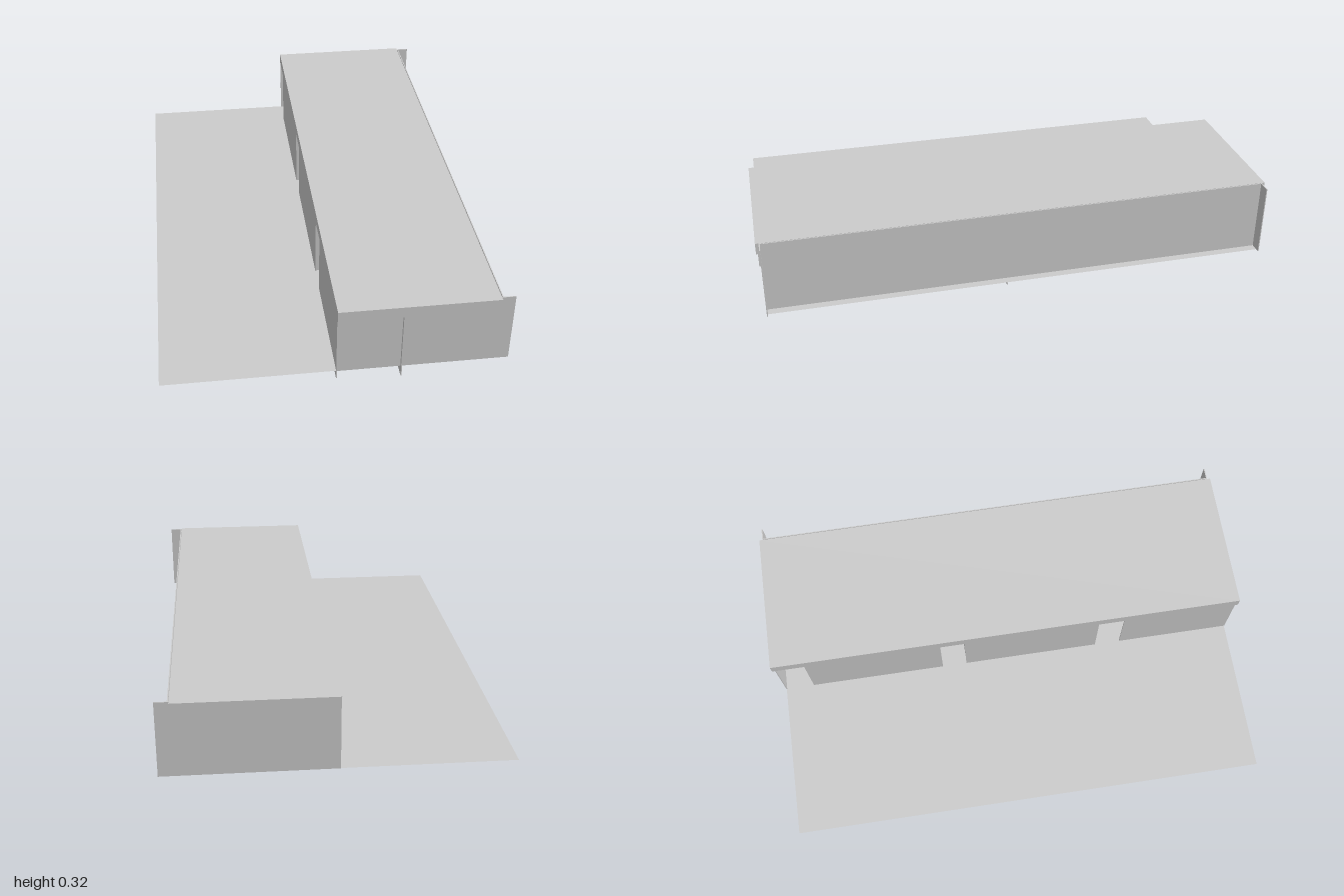
import * as THREE from 'three';

const GROUND = 0.036, EAVES = 0.28, TOP = 0.325, T = 0.004;

export function createModel() {
  const model = new THREE.Group();
  const mat = new THREE.MeshStandardMaterial({ color: 0xcccccc, flatShading: true, side: THREE.DoubleSide });

  // Box given by its extents on each axis
  function box(name, x0, x1, y0, y1, z0, z1, parent = model) {
    const mesh = new THREE.Mesh(new THREE.BoxGeometry(x1 - x0, y1 - y0, z1 - z0), mat);
    mesh.position.set((x0 + x1) / 2, (y0 + y1) / 2, (z0 + z1) / 2);
    mesh.name = name;
    parent.add(mesh);
  }
  // Thin walls along z (at a fixed x) and along x (at a fixed z)
  const wallZ = (name, x, z0, z1, y0, y1, parent) =>
    box(name, x - T / 2, x + T / 2, y0, y1, z0, z1, parent);
  const wallX = (name, z, x0, x1, y0, y1, parent) =>
    box(name, x0, x1, y0, y1, z - T / 2, z + T / 2, parent);

  // Ground sheet
  const ground = new THREE.Mesh(new THREE.PlaneGeometry(1.275, 1.97), mat);
  ground.rotation.x = -Math.PI / 2;
  ground.position.set(-0.0075, GROUND, 0);
  ground.name = 'ground';
  model.add(ground);

  // Flat roof with a deep edge
  box('roof', 0, 0.593, EAVES, TOP, -1, 1);

  // Closed long wall and the two end walls, which reach past it
  wallZ('rearWall', 0.597, -0.985, 0.985, GROUND, TOP);
  for (const s of [-1, 1]) wallX('endWall', s * 0.985, 0, 0.645, GROUND, TOP);

  // Entrance side: a sunk panel per unit, with a shorter panel above ground beside it
  const facade = new THREE.Group();
  facade.name = 'facade';
  model.add(facade);
  for (const [z0, z1] of [[0.505, 0.985], [-0.185, 0.295], [-0.865, -0.39]])
    wallZ('facadePanel', 0.002, z0, z1, 0, EAVES, facade);
  for (const z of [0.295, -0.39]) wallZ('facadeSidePanel', 0.002, z, z + 0.1, 0.03, EAVES, facade);

  // Inner walls, running down through the ground
  const rooms = new THREE.Group();
  rooms.name = 'innerWalls';
  model.add(rooms);

  // Walls between units
  for (const z of [0.387, -0.292]) wallX('partyWall', z, 0, 0.595, 0.024, EAVES, rooms);
  for (const z of [0.295, -0.39]) wallX('unitWall', z, 0, 0.595, 0.02, EAVES, rooms);

  // Partitions across the building: z, x0, x1
  for (const [z, x0, x1] of [
    [0.82, 0.24, 0.44], [0.71, 0.14, 0.38], [0.545, 0.14, 0.24],
    [0.055, 0.355, 0.595], [0.13, 0.04, 0.19], [-0.08, 0.14, 0.38], [-0.182, 0, 0.19],
    [-0.53, 0.14, 0.38], [-0.68, 0.19, 0.38], [-0.862, 0, 0.24],
  ]) wallX('crossPartition', z, x0, x1, 0, EAVES, rooms);

  // Partitions along the building: x, z0, z1
  for (const [x, z0, z1] of [
    [0.24, 0.835, 1], [0.24, 0.52, 0.68], [0.14, 0.65, 0.82], [0.49, 0.4, 0.585],
    [0.475, -0.29, -0.05], [0.19, -0.08, 0.16], [0.04, -0.08, 0.16],
    [0.49, -0.865, -0.39], [0.14, -0.68, -0.5], [0.19, -0.755, -0.6],
  ]) wallZ('longPartition', x, z0, z1, 0, EAVES, rooms);

  return model;
}
